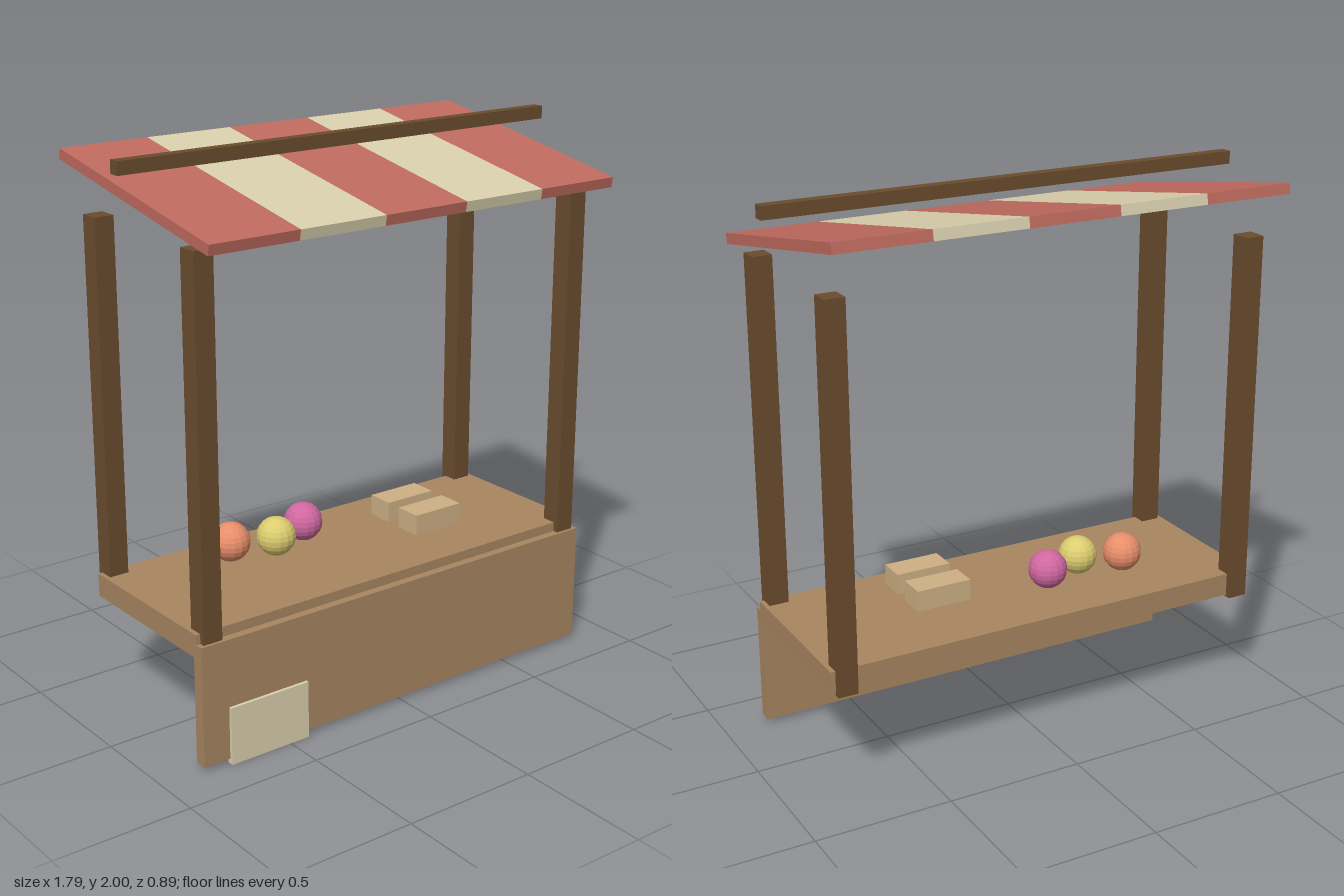
import * as THREE from 'three';

const paint = (color) => new THREE.MeshStandardMaterial({ color, flatShading: true });

export function createModel() {
  const stall = new THREE.Group();
  stall.name = 'marketStall';

  const darkWood = paint(0x6b4c2e);
  const lightWood = paint(0xa88560);
  const red = paint(0xbf6a5e);
  const cream = paint(0xdad0ae);
  const parcelTan = paint(0xcdb084);

  const add = (name, geometry, material, x, y, z, parent = stall) => {
    const mesh = new THREE.Mesh(geometry, material);
    mesh.name = name;
    mesh.position.set(x, y, z);
    parent.add(mesh);
    return mesh;
  };
  const box = (name, [w, h, d], material, x, y, z, parent) =>
    add(name, new THREE.BoxGeometry(w, h, d), material, x, y, z, parent);

  // Counter top, front panel and the sign leaning on it
  box('counterTop', [1.686, 0.084, 0.624], lightWood, 0, 0.448, 0);
  box('frontPanel', [1.686, 0.436, 0.046], lightWood, 0, 0.237, 0.32);
  box('sign', [0.317, 0.21, 0.024], cream, -0.582, 0.105, 0.343);

  // Four corner posts
  for (const sx of [-1, 1]) {
    for (const sz of [-1, 1]) {
      const name = (sz > 0 ? 'front' : 'back') + (sx > 0 ? 'Left' : 'Right') + 'Post';
      box(name, [0.073, 1.366, 0.073], darkWood, sx * 0.79, 1.082, sz * 0.295);
    }
  }

  // Striped awning sloping down to the front
  const awning = new THREE.Group();
  awning.name = 'awning';
  awning.position.y = 1.871;
  awning.rotation.x = 0.18;
  stall.add(awning);
  const stripe = 1.686 / 5;
  for (let i = 0; i < 5; i++) {
    box('awningStripe' + (i + 1), [stripe, 0.037, 0.898], i % 2 ? cream : red, (i - 2) * stripe, 0, 0, awning);
  }

  // Beam above the awning
  box('ridgeBeam', [1.792, 0.046, 0.042], darkWood, 0, 1.977, 0);

  // Goods on the counter: three balls and two parcels
  const ball = new THREE.SphereGeometry(0.071, 16, 12);
  add('orangeBall', ball, paint(0xe88e6a), -0.423, 0.574, -0.105);
  add('yellowBall', ball, paint(0xdccd70), -0.265, 0.574, -0.05);
  add('pinkBall', ball, paint(0xd068a0), -0.106, 0.574, -0.105);
  for (const [name, z] of [['frontParcel', 0.108], ['backParcel', -0.052]]) {
    box(name, [0.207, 0.077, 0.103], parcelTan, 0.313, 0.562, z);
  }

  return stall;
}
